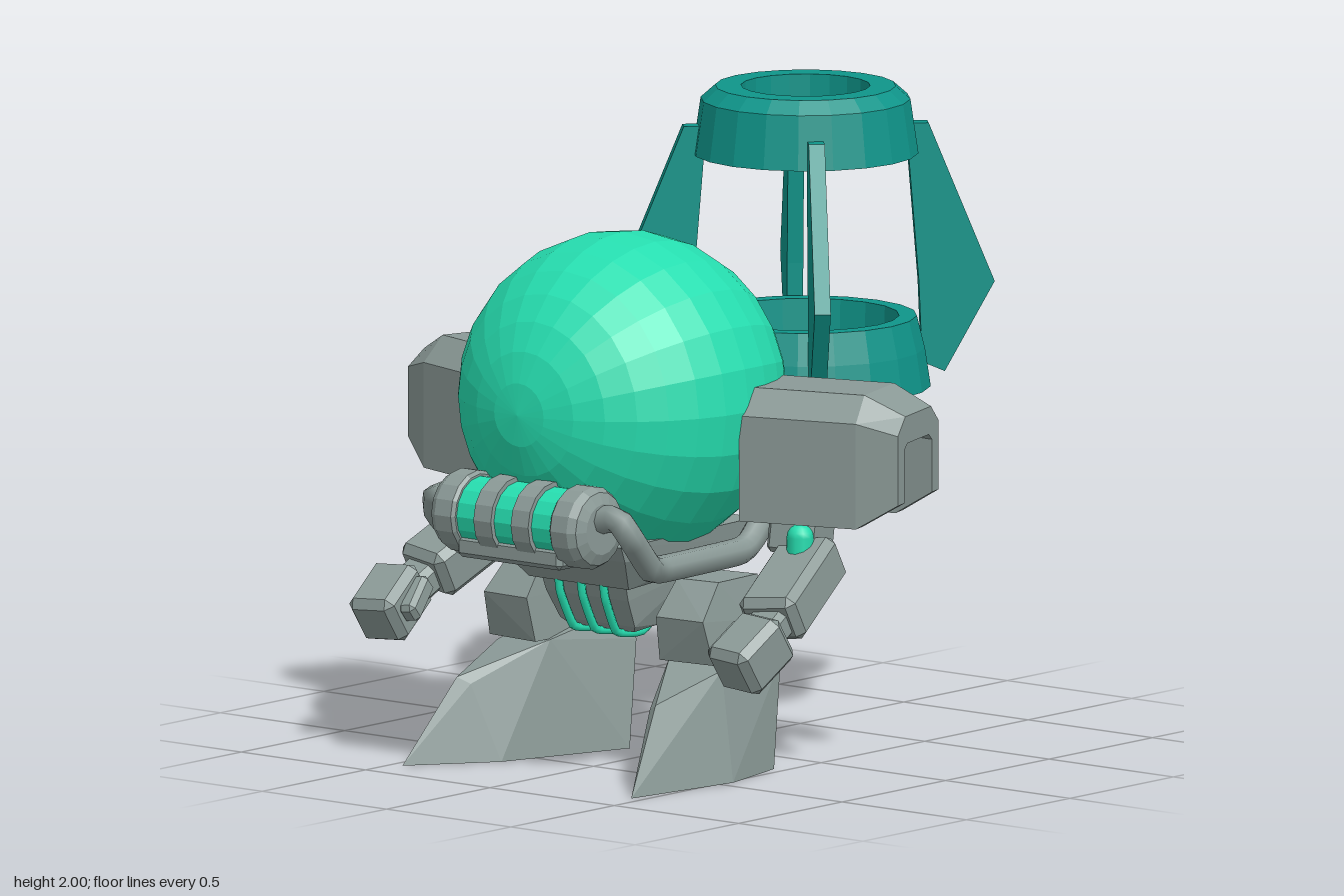
import * as THREE from 'three';
import { ConvexGeometry } from 'three/addons/geometries/ConvexGeometry.js';

const mat = (name, color) => {
  const m = new THREE.MeshStandardMaterial({ color });
  m.name = name;
  return m;
};
const V = (x, y, z) => new THREE.Vector3(x, y, z);

// Faceted normals for low-poly parts
function flat(geo) {
  const g = geo.index ? geo.toNonIndexed() : geo;
  g.computeVertexNormals();
  return g;
}

// Solid from corner points; s mirrors it across x
const solid = (pts, s = 1) => new ConvexGeometry(pts.map(([x, y, z]) => V(x * s, y, z)));

// Box with chamfered edges
function block(w, h, d, c) {
  const pts = [];
  for (const i of [-1, 1]) for (const j of [-1, 1]) for (const k of [-1, 1]) {
    const [x, y, z] = [i * w / 2, j * h / 2, k * d / 2];
    pts.push([x, y - j * c, z - k * c], [x - i * c, y, z - k * c], [x - i * c, y - j * c, z]);
  }
  return solid(pts);
}

export function createModel() {
  const root = new THREE.Group();
  const grey = mat('grey metal', 0x8b9a97);
  const green = mat('bright green', 0x26deb0);
  const teal = mat('dark teal', 0x0f958a);

  const add = (parent, name, geo, material, pos = [0, 0, 0], rot = [0, 0, 0]) => {
    const m = new THREE.Mesh(geo, material);
    m.name = name;
    m.position.set(...pos);
    m.rotation.set(...rot);
    parent.add(m);
    return m;
  };

  // Round body, poles facing front and back
  add(root, 'bodySphere', flat(new THREE.SphereGeometry(0.51, 24, 16)), green, [0, 1.15, 0.36], [Math.PI / 2, 0, 0]);

  // Lower hull and snout under the body
  const hull = [], snout = [];
  for (const i of [-1, 1]) {
    hull.push([i * 0.27, 0.74, 0.69], [i * 0.27, 0.75, 0.04], [i * 0.26, 0.69, 0.66],
      [i * 0.26, 0.69, 0.08], [i * 0.2, 0.585, 0.57], [i * 0.2, 0.61, 0.17]);
    snout.push([i * 0.17, 0.6, 0.55], [i * 0.17, 0.6, 0.2], [i * 0.165, 0.54, 0.53],
      [i * 0.15, 0.45, 0.48], [i * 0.13, 0.43, 0.46], [i * 0.13, 0.44, 0.33]);
  }
  add(root, 'hull', solid(hull), grey);
  add(root, 'snout', solid(snout), grey);
  for (const x of [-0.09, 0, 0.09]) {
    const curve = new THREE.CatmullRomCurve3([V(x, 0.59, 0.56), V(x, 0.54, 0.55), V(x * 0.95, 0.43, 0.49),
      V(x * 0.95, 0.42, 0.36), V(x, 0.57, 0.17), V(x, 0.65, 0.12)], false, 'catmullrom', 0.2);
    add(root, 'hullTube', new THREE.TubeGeometry(curve, 30, 0.014, 6), green);
  }

  // Front canister with green bands between grey rings
  const canister = new THREE.Group();
  canister.name = 'frontCanister';
  canister.position.set(0, 0.82, 0.82);
  root.add(canister);
  const side = [0, 0, Math.PI / 2];
  add(canister, 'greenCore', flat(new THREE.CylinderGeometry(0.113, 0.113, 0.4, 16)), green, [0, 0, 0], side);
  for (const x of [-0.075, 0.075])
    add(canister, 'ring', flat(new THREE.CylinderGeometry(0.128, 0.128, 0.07, 16)), grey, [x, 0, 0], side);
  for (const s of [-1, 1]) {
    const cap = [[0, -0.06], [0.12, -0.06], [0.13, -0.05], [0.13, 0.015], [0.115, 0.04], [0.08, 0.055], [0, 0.055]];
    add(canister, 'endCap', flat(new THREE.LatheGeometry(cap.map(p => new THREE.Vector2(...p)), 16)), grey,
      [s * 0.25, 0, 0], [0, 0, -s * Math.PI / 2]);
  }
  add(canister, 'tray', block(0.42, 0.07, 0.21, 0.015), grey, [0, -0.095, -0.01]);

  // Pipe running from the canister ends around the back
  const half = [[0.26, 0.84, 0.82], [0.36, 0.86, 0.82], [0.39, 0.8, 0.79], [0.375, 0.69, 0.68], [0.35, 0.67, 0.6],
    [0.33, 0.67, 0.2], [0.33, 0.7, 0.13], [0.31, 0.95, -0.13], [0.21, 0.99, -0.18]];
  const path = [...half.map(p => V(...p)), ...half.slice().reverse().map(([x, y, z]) => V(-x, y, z))];
  add(root, 'pipe', new THREE.TubeGeometry(new THREE.CatmullRomCurve3(path, false, 'catmullrom', 0.2), 110, 0.043, 8), grey);

  // Arms and legs
  for (const s of [1, -1]) {
    const arm = new THREE.Group();
    arm.name = s > 0 ? 'leftArm' : 'rightArm';
    root.add(arm);

    // Hollow shoulder: arch section, open below, narrowing at the outer end
    const arch = new THREE.Shape([[-0.19, -0.2], [-0.19, 0.13], [-0.12, 0.21], [0.12, 0.21], [0.19, 0.13], [0.19, -0.2],
      [0.13, -0.2], [0.13, 0.05], [0.1, 0.08], [-0.1, 0.08], [-0.13, 0.05], [-0.13, -0.2]].map(p => new THREE.Vector2(...p)));
    const shell = new THREE.ExtrudeGeometry(arch, { depth: 0.52, steps: 4, bevelEnabled: false });
    const p = shell.attributes.position;
    for (let i = 0; i < p.count; i++) {
      const z = p.getZ(i), k = z > 0.5 ? 0.66 : 1;
      p.setXYZ(i, p.getX(i) * (k < 1 ? 0.86 : 1), p.getY(i) * k + (k < 1 ? 0.01 : 0), z);
    }
    add(arm, 'shoulder', flat(shell), grey, [s * 0.44, 1.01, 0.21], [0, s * (Math.PI / 2 + 0.3), 0]);
    // Inner shoulder wall
    add(arm, 'shoulderWall', block(0.04, 0.36, 0.3, 0.01), grey, [s * 0.52, 1.0, 0.17], [0, s * 0.3, 0]);
    add(arm, 'upperArm', block(0.16, 0.31, 0.16, 0.015), grey, [s * 0.58, 0.845, 0.18], [-0.15, s * 0.2, 0]);
    add(arm, 'elbow', new THREE.CapsuleGeometry(0.042, 0.1, 4, 10), green, [s * 0.64, 0.71, 0.27]);
    add(arm, 'forearm', block(0.2, 0.16, 0.36, 0.025), grey, [s * 0.66, 0.61, 0.33], [0.5, s * 0.2, 0]);
    add(arm, 'wrist', block(0.13, 0.1, 0.16, 0.02), grey, [s * 0.7, 0.51, 0.5], [0.5, s * 0.1, 0]);
    add(arm, 'fist', block(0.17, 0.17, 0.21, 0.025), grey, [s * 0.725, 0.45, 0.61], [0.6, s * -0.1, 0]);
    add(arm, 'thumb', block(0.06, 0.07, 0.15, 0.015), grey, [s * 0.63, 0.47, 0.6], [0.7, s * -0.2, 0]);

    const leg = new THREE.Group();
    leg.name = s > 0 ? 'leftLeg' : 'rightLeg';
    root.add(leg);
    add(leg, 'thigh', solid([[0.27, 0.61, 0.42], [0.42, 0.61, 0.4], [0.27, 0.61, 0.22], [0.41, 0.61, 0.2],
      [0.26, 0.5, 0.51], [0.44, 0.5, 0.5], [0.26, 0.5, 0.27], [0.44, 0.48, 0.27],
      [0.25, 0.36, 0.48], [0.45, 0.36, 0.46], [0.25, 0.36, 0.27], [0.45, 0.36, 0.27]], s), grey);
    // Wedge foot running to a pointed toe
    add(leg, 'foot', solid([[0.12, 0, 0.18], [0.46, 0, 0.18], [0.52, 0, 0.45], [0.46, 0, 0.87], [0.27, 0, 0.62],
      [0.16, 0.33, 0.1], [0.42, 0.33, 0.1], [0.2, 0.42, 0.14], [0.4, 0.42, 0.14],
      [0.24, 0.36, 0.42], [0.45, 0.34, 0.42], [0.4, 0.26, 0.68], [0.36, 0.24, 0.66]], s), grey);
  }

  // Open lantern-shaped tank at the back
  const tank = new THREE.Group();
  tank.name = 'backTank';
  tank.position.z = -0.525;
  root.add(tank);
  const lathe = pts => flat(new THREE.LatheGeometry(pts.map(q => new THREE.Vector2(...q)), 20));
  const bowl = [];
  for (let i = 0; i <= 6; i++) {
    const a = i / 6 * Math.PI / 2;
    bowl.push([0.36 * Math.sin(a), 0.95 - 0.28 * Math.cos(a)]);
  }
  bowl.push([0.355, 0.975], [0.3, 0.985], [0.3, 1.06], [0.388, 1.06], [0.37, 1.18], [0.345, 1.28],
    [0.29, 1.28], [0.28, 1.05], [0, 1.05]);
  add(tank, 'tankBowl', lathe(bowl), teal);
  add(tank, 'topRing', lathe([[0.2, 1.79], [0.35, 1.79], [0.325, 1.96], [0.28, 2], [0.2, 2], [0.2, 1.79]]), teal);
  const fin = new THREE.Shape([[0.31, 1.88], [0.38, 1.88], [0.585, 1.38], [0.43, 1.1], [0.36, 1.13], [0.35, 1.38]]
    .map(q => new THREE.Vector2(...q)));
  const finGeo = new THREE.ExtrudeGeometry(fin, { depth: 0.05, bevelEnabled: false }).translate(0, 0, -0.025);
  for (let i = 0; i < 4; i++)
    add(tank, 'fin', finGeo, teal, [0, 0, 0], [0, Math.PI / 4 + i * Math.PI / 2, 0]);

  return root;
}
